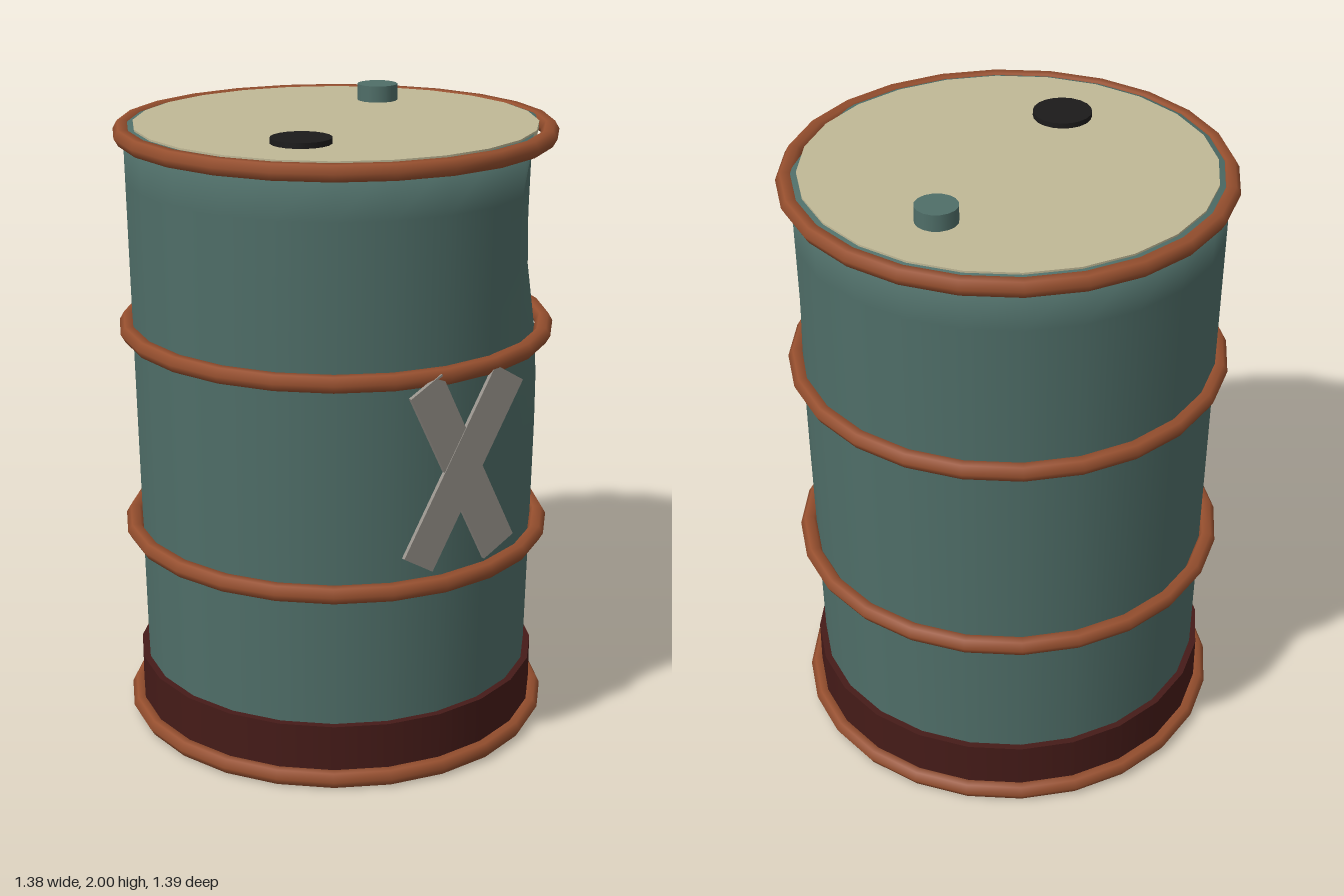
import * as THREE from 'three';
import { mergeVertices } from 'three/addons/utils/BufferGeometryUtils.js';

const SIDES = 24;
const COLORS = {
  paint: 0x4f6e68, rust: 0x964f2e, darkRust: 0x451b18,
  lid: 0xc0b896, black: 0x1c1b1b, tape: 0x96918a,
};

export function createModel() {
  const drum = new THREE.Group();
  drum.name = 'drum';

  const add = (name, geometry, color, x = 0, y = 0, z = 0, parent = drum) => {
    const mesh = new THREE.Mesh(geometry, new THREE.MeshStandardMaterial({ color }));
    mesh.name = name;
    mesh.position.set(x, y, z);
    parent.add(mesh);
    return mesh;
  };

  // Body: slightly flared closed cylinder, dented near the top front left
  const height = 1.942;
  let body = new THREE.CylinderGeometry(0.66, 0.627, height, SIDES, 12);
  body.translate(0, height / 2, 0);
  body.deleteAttribute('normal');
  body.deleteAttribute('uv');
  body = mergeVertices(body);
  const p = body.attributes.position;
  for (let i = 0; i < p.count; i++) {
    const x = p.getX(i), y = p.getY(i), z = p.getZ(i);
    const r = Math.hypot(x, z);
    if (r < 0.1) continue;
    const da = (Math.atan2(z, x) - 0.92) / 0.3;
    const dy = (y - 1.68) / 0.32;
    const k = 1 - 0.09 * Math.exp(-da * da - dy * dy) / r;
    p.setXYZ(i, x * k, y, z * k);
  }
  body.computeVertexNormals();
  add('body', body, COLORS.paint);

  // Rusted band around the foot
  add('footBand', new THREE.CylinderGeometry(0.652, 0.652, 0.197, SIDES), COLORS.darkRust, 0, 0.1015, 0);

  // Four rolling hoops
  [0.028, 0.647, 1.308, 1.923].forEach((y, i) => {
    const hoop = new THREE.TorusGeometry(0.662, 0.028, 6, SIDES).rotateX(Math.PI / 2);
    add(`hoop${i + 1}`, hoop, COLORS.rust, 0, y, 0);
  });

  // Lid with its two bungs
  add('lid', new THREE.CylinderGeometry(0.627, 0.627, 0.02, SIDES), COLORS.lid, 0, 1.938, 0);
  add('flatBung', new THREE.CylinderGeometry(0.092, 0.092, 0.024, 20), COLORS.black, -0.325, 1.953, 0.187);
  add('raisedBung', new THREE.CylinderGeometry(0.065, 0.065, 0.06, 16), COLORS.paint, 0.355, 1.97, -0.168);

  // Crossed strips on the front, turned to follow the wall
  const cross = new THREE.Group();
  cross.name = 'crossedStrips';
  cross.position.set(-0.12, 1.01, 0.659);
  cross.rotation.y = -0.16;
  drum.add(cross);
  [0.47, -0.55].forEach((tilt, i) => {
    const strip = add(`strip${i + 1}`, new THREE.BoxGeometry(0.125, 0.635, 0.012), COLORS.tape, 0, 0, i * 0.002, cross);
    strip.rotation.z = tilt;
  });

  return drum;
}
